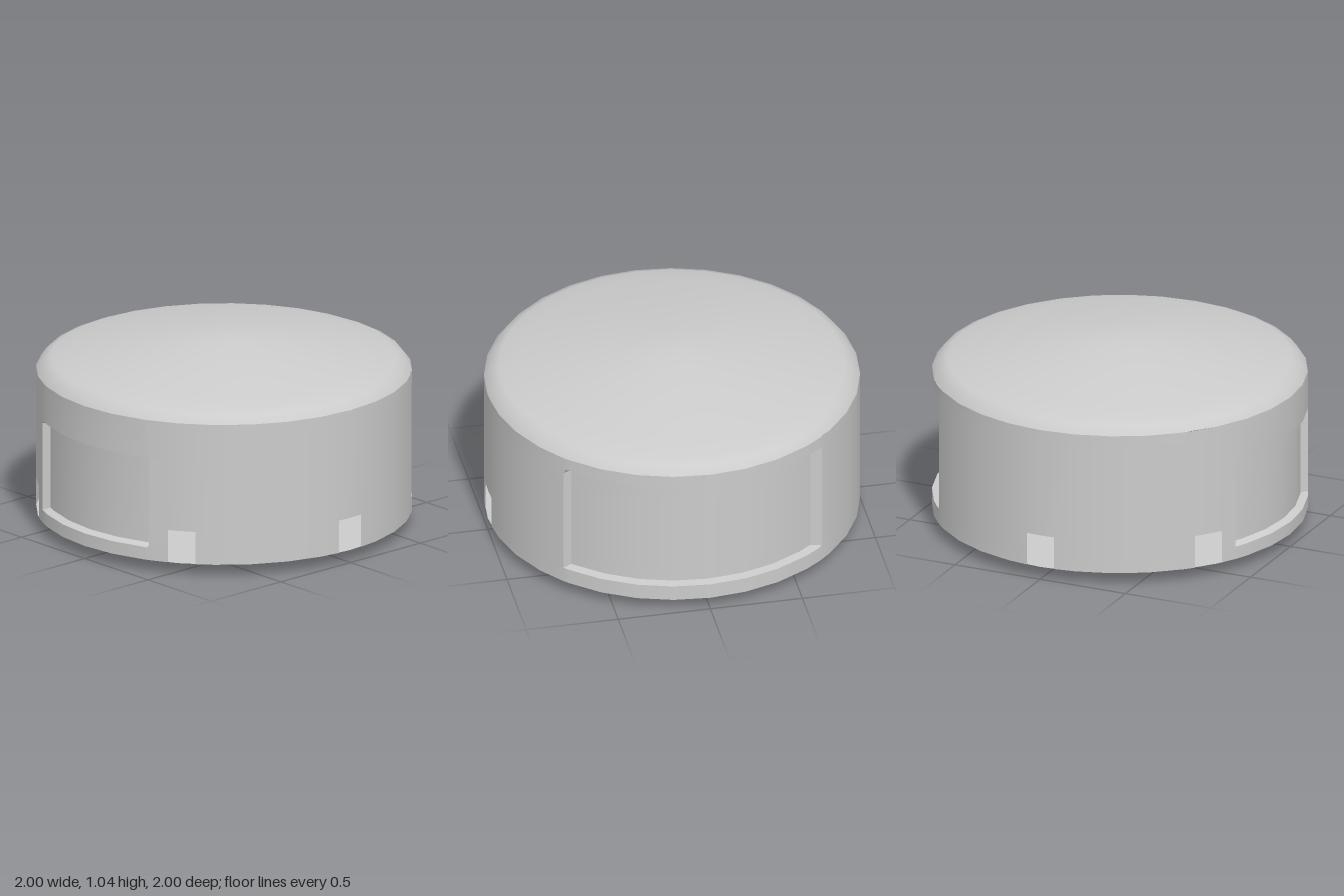
import * as THREE from 'three';
import { toCreasedNormals } from 'three/addons/utils/BufferGeometryUtils.js';

const SIDES = 32;
const FLOOR = 0.07, RIM = 0.85;

// Angles in degrees, measured from the front (+z) towards +x.
// Each panel: outer angles, inner angles, outer heights, inner heights, radius.
const panels = [
  { a: [-27, 24.2], ai: [-25.9, 23.7], y: [0.14, 0.64], yi: [0.155, 0.625], r: 0.96 },
  { a: [133, 221], ai: [134, 219], y: [0.135, 0.785], yi: [0.16, 0.755], r: 0.95 },
];
// Notches in the lower edge of the wall
const notchTop = 0.25;
const notches = [[-94.5, -85.5], [-41.5, -32], [30.5, 39], [85.5, 94.5]];

const inside = (v, [lo, hi]) => v >= lo - 1e-6 && v <= hi + 1e-6;
const sorted = (list) => [...new Set(list)].sort((p, q) => p - q);

// Thin wall on a grid of angles and heights, pushed in at the panels and left open at the notches
function wallGeometry() {
  const angles = sorted([
    ...Array.from({ length: SIDES + 1 }, (_, i) => -101.25 + (i * 360) / SIDES),
    ...panels.flatMap((p) => [...p.a, ...p.ai]),
    ...notches.flat(),
  ]);
  const heights = sorted([FLOOR, notchTop, RIM, ...panels.flatMap((p) => [...p.y, ...p.yi])]);

  const position = [], index = [];
  for (const y of heights) {
    for (const a of angles) {
      const panel = panels.find((p) => inside(a, p.ai) && inside(y, p.yi));
      const r = panel ? panel.r : 1;
      const t = THREE.MathUtils.degToRad(a);
      position.push(r * Math.sin(t), y, r * Math.cos(t));
    }
  }
  const n = angles.length;
  for (let j = 0; j < heights.length - 1; j++) {
    for (let i = 0; i < n - 1; i++) {
      const mid = (angles[i] + angles[i + 1]) / 2;
      if (heights[j] < notchTop && notches.some((s) => inside(mid, s))) continue;
      const p = j * n + i;
      index.push(p, p + 1, p + n + 1, p, p + n + 1, p + n);
    }
  }
  const g = new THREE.BufferGeometry();
  g.setAttribute('position', new THREE.Float32BufferAttribute(position, 3));
  g.setIndex(index);
  return toCreasedNormals(g, THREE.MathUtils.degToRad(25));
}

export function createModel() {
  const model = new THREE.Group();
  model.name = 'roundHousing';
  const material = new THREE.MeshStandardMaterial({ color: 0xcccccc, side: THREE.DoubleSide });

  const add = (name, geometry, x = 0, y = 0, z = 0) => {
    const mesh = new THREE.Mesh(geometry, material);
    mesh.name = name;
    mesh.position.set(x, y, z);
    model.add(mesh);
    return mesh;
  };

  add('wall', wallGeometry());

  // Shallow dome with a rounded shoulder
  const profile = [
    [1, RIM], [0.965, 0.895], [0.92, 0.914], [0.8, 0.94], [0.6, 0.977],
    [0.4, 1.01], [0.2, 1.034], [0.08, 1.044], [0, 1.045],
  ].map(([r, y]) => new THREE.Vector2(r, y));
  add('domeLid', new THREE.LatheGeometry(profile, SIDES));

  // Flat floor closing the hollow body
  add('floor', new THREE.CircleGeometry(1, SIDES).rotateX(Math.PI / 2), 0, FLOOR, 0);

  // Stepped foot, slightly off centre
  const steps = [[0.525, 0.05, FLOOR], [0.46, 0.028, 0.05], [0.41, 0, 0.028]];
  steps.forEach(([r, bottom, top], i) => {
    add(`footStep${i + 1}`, new THREE.CylinderGeometry(r, r, top - bottom, SIDES),
      -0.01, (top + bottom) / 2, -0.02);
  });

  return model;
}
